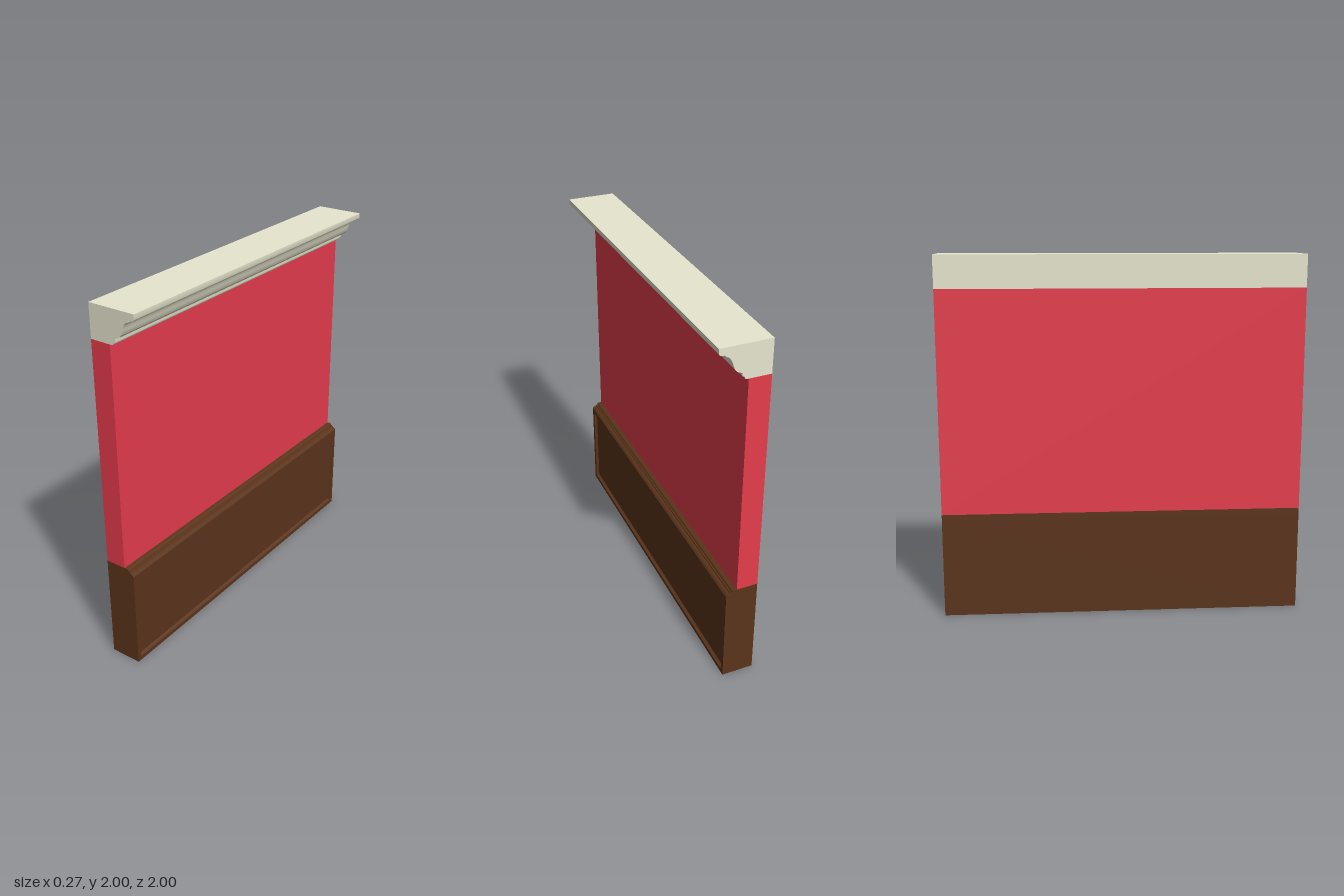
import * as THREE from 'three';
import { toCreasedNormals } from 'three/addons/utils/BufferGeometryUtils.js';

const BACK = -0.135, WALL_FRONT = -0.018, HALF = 1;

const cream = new THREE.MeshStandardMaterial({ name: 'cream plaster', color: 0xe7e6ce });
const red = new THREE.MeshStandardMaterial({ name: 'red wall', color: 0xe63c4c });
const brown = new THREE.MeshStandardMaterial({ name: 'brown wood', color: 0x5b341b });

// Moulding: an xy cross-section run along the whole wall in z
function moulding(shape, material, name) {
  const geo = new THREE.ExtrudeGeometry(shape, { depth: 2 * HALF, bevelEnabled: false, curveSegments: 14 });
  geo.translate(0, 0, -HALF);
  const mesh = new THREE.Mesh(toCreasedNormals(geo, 0.45), material);
  mesh.name = name;
  return mesh;
}

// Panelled block: nested rectangles in yz, each [x, inset], joined by quads
function panelledBlock(height, steps) {
  const rings = steps.map(([x, d]) => [
    [x, d, -HALF + d], [x, height - d, -HALF + d],
    [x, height - d, HALF - d], [x, d, HALF - d],
  ]);
  const pos = [];
  const quad = (a, b, c, d) => pos.push(...a, ...b, ...c, ...a, ...c, ...d);
  for (let r = 0; r < rings.length - 1; r++) {
    for (let i = 0; i < 4; i++) {
      const j = (i + 1) % 4;
      quad(rings[r][i], rings[r][j], rings[r + 1][j], rings[r + 1][i]);
    }
  }
  quad(...rings[rings.length - 1]);
  quad(...[...rings[0]].reverse());
  const geo = new THREE.BufferGeometry();
  geo.setAttribute('position', new THREE.Float32BufferAttribute(pos, 3));
  geo.computeVertexNormals();
  return geo;
}

export function createModel() {
  const group = new THREE.Group();
  group.name = 'wallSection';

  // Crown moulding with stepped fillets and an S-shaped cove
  const crown = new THREE.Shape();
  crown.moveTo(BACK, 1.82);
  crown.lineTo(-0.005, 1.82);
  crown.quadraticCurveTo(0.002, 1.822, 0.003, 1.834);
  crown.lineTo(0.014, 1.838);
  crown.lineTo(0.016, 1.855);
  crown.lineTo(0.023, 1.859);
  crown.bezierCurveTo(0.045, 1.863, 0.053, 1.878, 0.062, 1.905);
  crown.bezierCurveTo(0.069, 1.93, 0.08, 1.95, 0.1, 1.953);
  crown.lineTo(0.102, 1.961);
  crown.lineTo(0.114, 1.962);
  crown.bezierCurveTo(0.124, 1.962, 0.135, 1.967, 0.135, 1.978);
  crown.lineTo(0.135, 2);
  crown.lineTo(BACK, 2);
  crown.closePath();
  group.add(moulding(crown, cream, 'crownMoulding'));

  // Plain wall
  const wall = new THREE.Mesh(new THREE.BoxGeometry(WALL_FRONT - BACK, 1.235, 2 * HALF), red);
  wall.position.set((WALL_FRONT + BACK) / 2, 1.2025, 0);
  wall.name = 'wall';
  group.add(wall);

  // Wainscot block with a bevelled, sunken panel
  const wainscot = new THREE.Mesh(
    panelledBlock(0.55, [[BACK, 0], [0.041, 0], [0.041, 0.023], [0.03, 0.028], [0.025, 0.032]]), brown);
  wainscot.name = 'wainscotPanel';
  group.add(wainscot);

  // Chair rail on top of the wainscot
  const rail = new THREE.Shape();
  rail.moveTo(BACK, 0.55);
  rail.lineTo(0.041, 0.55);
  rail.quadraticCurveTo(0.036, 0.562, 0.019, 0.566);
  rail.lineTo(0.017, 0.572);
  rail.lineTo(0.01, 0.573);
  rail.quadraticCurveTo(0.008, 0.584, -0.002, 0.585);
  rail.lineTo(BACK, 0.585);
  rail.closePath();
  group.add(moulding(rail, brown, 'chairRail'));

  return group;
}
